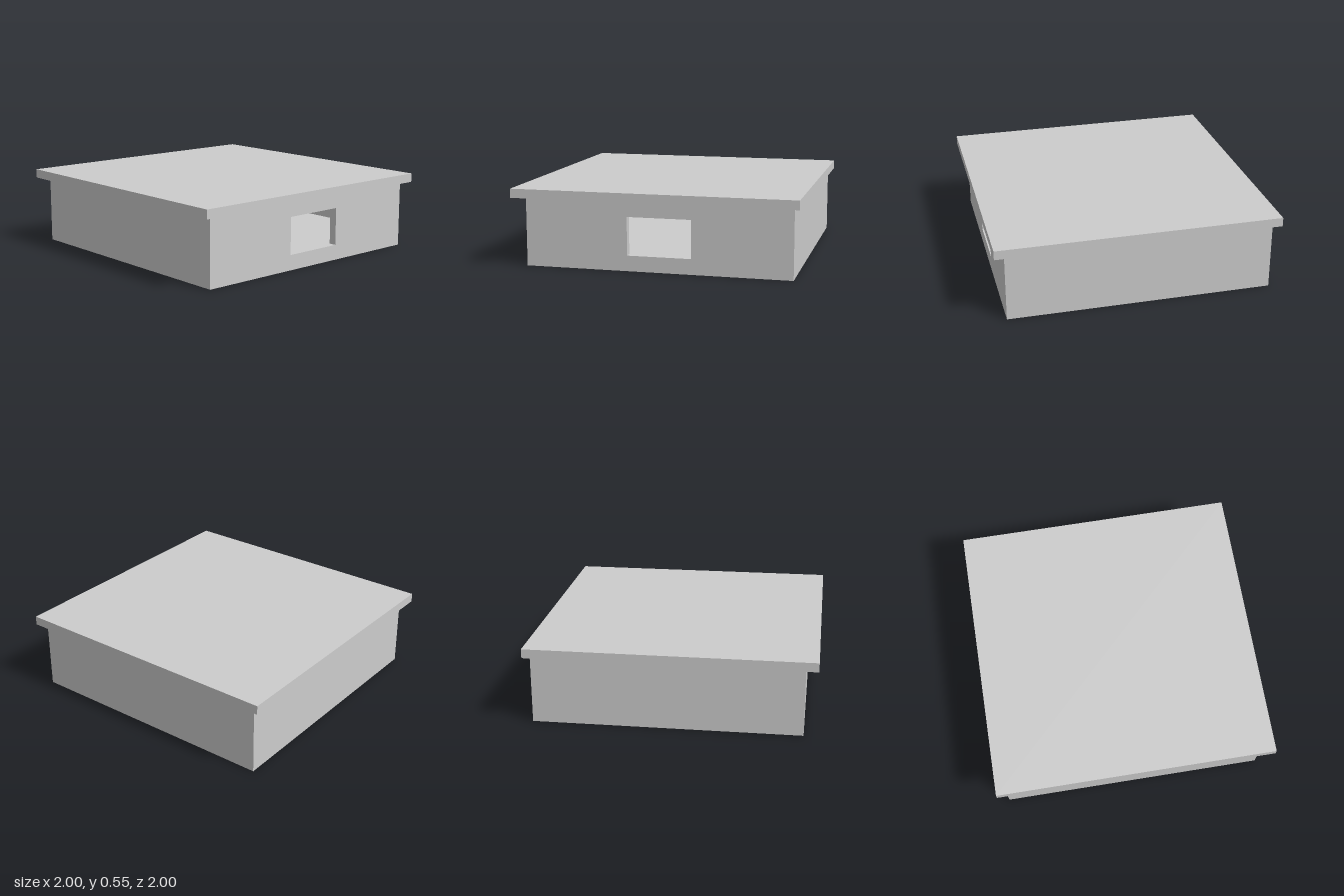
import * as THREE from 'three';

const material = new THREE.MeshStandardMaterial({ color: 0xcccccc, flatShading: true });

// Outer limits of the hollow body, its wall thickness and main heights
const X0 = -0.945, X1 = 0.928, Z0 = -0.958, Z1 = 0.914, WALL = 0.055;
const FLOOR = 0.109, EAVES = 0.487, TOP = 0.551;
const OPENING = { z0: -0.262, z1: 0.187, top: 0.377 };

function addMesh(group, name, geometry) {
  const mesh = new THREE.Mesh(geometry, material);
  mesh.name = name;
  group.add(mesh);
  return mesh;
}

// Box given by its lower and upper corners
function addBox(group, name, [x0, y0, z0], [x1, y1, z1]) {
  const mesh = addMesh(group, name, new THREE.BoxGeometry(x1 - x0, y1 - y0, z1 - z0));
  mesh.position.set((x0 + x1) / 2, (y0 + y1) / 2, (z0 + z1) / 2);
}

export function createModel() {
  const group = new THREE.Group();
  group.name = 'liddedBox';

  // Thick floor, level with the sill of the opening
  addBox(group, 'floor', [X0, 0, Z0], [X1, FLOOR, Z1]);

  // Three plain walls
  addBox(group, 'rightWall', [X0, FLOOR, Z0], [X0 + WALL, EAVES, Z1]);
  addBox(group, 'frontWall', [X0 + WALL, FLOOR, Z1 - WALL], [X1 - WALL, EAVES, Z1]);
  addBox(group, 'backWall', [X0 + WALL, FLOOR, Z0], [X1 - WALL, EAVES, Z0 + WALL]);

  // Wall with the opening, drawn in (-z, y) and extruded along x
  const outline = [
    [-Z1, FLOOR], [-OPENING.z1, FLOOR], [-OPENING.z1, OPENING.top],
    [-OPENING.z0, OPENING.top], [-OPENING.z0, FLOOR], [-Z0, FLOOR],
    [-Z0, EAVES], [-Z1, EAVES],
  ].map(([x, y]) => new THREE.Vector2(x, y));
  const wall = new THREE.ExtrudeGeometry(new THREE.Shape(outline), { depth: WALL, bevelEnabled: false });
  wall.rotateY(Math.PI / 2).translate(X1 - WALL, 0, 0);
  addMesh(group, 'openingWall', wall);

  // Overhanging flat lid
  addBox(group, 'lid', [-1, EAVES, -1], [1, TOP, 1]);

  return group;
}
